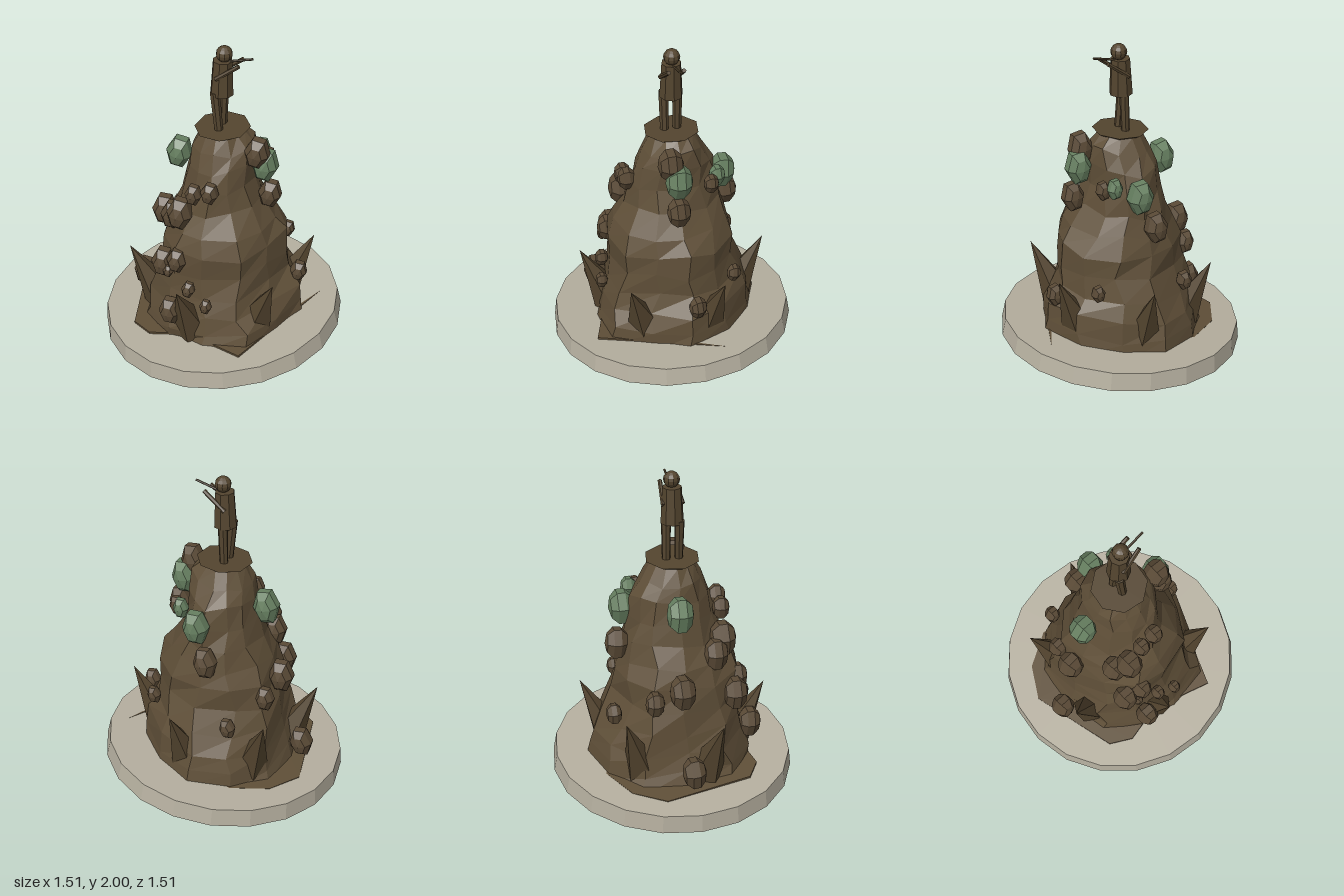
import * as THREE from 'three';

const material = (color) => new THREE.MeshStandardMaterial({ color, flatShading: true, side: THREE.DoubleSide });
const V = (x, y, z) => new THREE.Vector3(x, y, z);

function seeded(seed) {
  return () => {
    seed = (seed * 16807) % 2147483647;
    return seed / 2147483647;
  };
}

// Flat-faced tapered rod between two points
function rod(name, from, to, r0, r1, sides, mat) {
  const dir = to.clone().sub(from);
  const mesh = new THREE.Mesh(new THREE.CylinderGeometry(r1, r0, dir.length(), sides), mat);
  mesh.position.copy(from).addScaledVector(dir, 0.5);
  mesh.quaternion.setFromUnitVectors(V(0, 1, 0), dir.normalize());
  mesh.name = name;
  return mesh;
}

// Closed loft: each ring is [y, reach -x, +x, +z, -z]; the plan factors fade out upwards
function craggyMound(rings, plan, random) {
  const pos = [], index = [], sides = plan.length;
  rings.forEach(([y, left, right, front, back], i) => {
    const last = i === rings.length - 1;
    const fade = Math.max(0, 1 - y);
    for (let j = 0; j < sides; j++) {
      const a = ((j + (last ? 0 : (random() - 0.5) * 0.3)) / sides) * Math.PI * 2;
      const c = Math.cos(a), s = -Math.sin(a);
      const k = (0.96 + random() * 0.08) * (1 + (plan[j] - 1) * fade);
      const lift = last ? 0 : (random() - 0.5) * 0.05;
      const x = c * (c > 0 ? right : left) * k;
      pos.push(x, y + lift + x * 0.07, s * (s > 0 ? front : back) * k);
    }
  });
  for (let i = 0; i < rings.length - 1; i++) {
    for (let j = 0; j < sides; j++) {
      const a = i * sides + j, b = i * sides + ((j + 1) % sides);
      index.push(a, b, b + sides, a, b + sides, a + sides);
    }
  }
  const top = (rings.length - 1) * sides;
  for (let j = 1; j < sides - 1; j++) index.push(top, top + j, top + j + 1);
  const geo = new THREE.BufferGeometry();
  geo.setAttribute('position', new THREE.Float32BufferAttribute(pos, 3));
  geo.setIndex(index);
  const flat = geo.toNonIndexed();
  flat.computeVertexNormals();
  return flat;
}

export function createModel() {
  const model = new THREE.Group();
  model.name = 'rockMonument';
  const random = seeded(4711);
  const rock = material(0x5f4f38), boulderMat = material(0x5a4a36), moss = material(0x667f60);
  const spikeMat = material(0x54452f), bronze = material(0x54452f), stone = material(0xb5af9f);

  // Tilted round plinth with a slightly sloping rim
  const plinth = new THREE.Mesh(new THREE.CylinderGeometry(0.74, 0.757, 0.112, 20), stone);
  plinth.position.y = 0.12;
  plinth.rotation.set(0.014, 0, 0.083);
  plinth.name = 'plinth';
  model.add(plinth);

  // Thin uneven ground patch around the foot of the rock
  const outline = [[-0.08, -0.56], [-0.46, -0.36], [-0.58, -0.17], [-0.46, 0.38], [-0.33, 0.46],
    [-0.1, 0.42], [0.14, 0.5], [0.28, 0.55], [0.6, -0.17], [0.42, 0.15], [0.2, -0.47]];
  const patch = new THREE.Shape(outline.map(([x, z]) => new THREE.Vector2(x, -z)));
  const ground = new THREE.Mesh(
    new THREE.ExtrudeGeometry(patch, { depth: 0.03, bevelEnabled: false }).rotateX(-Math.PI / 2), rock);
  ground.position.y = 0.152;
  ground.rotation.z = 0.08;
  ground.name = 'groundPatch';
  model.add(ground);

  // Craggy main rock
  const rings = [
    [0.13, 0.46, 0.53, 0.50, 0.54], [0.24, 0.44, 0.52, 0.49, 0.52], [0.36, 0.42, 0.49, 0.46, 0.49],
    [0.48, 0.40, 0.43, 0.42, 0.43], [0.62, 0.38, 0.41, 0.40, 0.37], [0.76, 0.35, 0.40, 0.41, 0.37],
    [0.88, 0.31, 0.34, 0.37, 0.34], [1.0, 0.25, 0.25, 0.29, 0.30], [1.14, 0.22, 0.21, 0.26, 0.28],
    [1.26, 0.20, 0.20, 0.23, 0.25], [1.37, 0.18, 0.19, 0.18, 0.19], [1.45, 0.13, 0.13, 0.13, 0.13],
  ];
  const plan = [1, 0.91, 0.97, 1, 0.98, 1.1, 1, 1.1, 1, 1, 1.1, 0.9];
  const mound = new THREE.Mesh(craggyMound(rings, plan, random), rock);
  mound.name = 'mainRock';
  model.add(mound);

  // Flared summit ledge
  const ledge = new THREE.Mesh(new THREE.CylinderGeometry(0.168, 0.125, 0.024, 8), spikeMat);
  ledge.position.y = 1.453;
  ledge.rotation.set(0, 0.2, 0.05);
  ledge.name = 'summitLedge';
  model.add(ledge);

  // Boulders: x, y, z, radius
  const boulders = [
    [-0.2, 0.56, -0.41, 0.06], [-0.03, 0.95, -0.35, 0.09], [-0.35, 0.68, -0.19, 0.072],
    [-0.52, 0.27, 0.01, 0.09], [-0.39, 0.76, -0.03, 0.098], [0.23, 1.19, -0.18, 0.056],
    [0.34, 0.58, -0.3, 0.053], [0.485, 0.48, -0.03, 0.067], [0.235, 1.37, 0.07, 0.095],
    [0.31, 1.08, 0.04, 0.088], [-0.25, 0.915, 0.21, 0.09], [-0.18, 0.98, 0.27, 0.1],
    [-0.09, 1.14, 0.28, 0.065], [0.01, 1.17, 0.28, 0.068], [-0.27, 0.64, 0.33, 0.094],
    [-0.17, 0.70, 0.37, 0.077], [-0.19, 0.37, 0.45, 0.088], [-0.08, 0.54, 0.43, 0.052],
    [0.04, 0.46, 0.46, 0.047], [-0.22, 0.62, 0.39, 0.04],
  ];
  const mossy = [[0.05, 1.15, -0.3, 0.1], [-0.28, 1.22, -0.02, 0.1],
    [0.18, 1.21, -0.23, 0.06], [0.275, 1.27, 0.03, 0.1]];
  const addBoulders = (name, list, mat) => {
    const group = new THREE.Group();
    group.name = name;
    for (const [x, y, z, r] of list) {
      const mesh = new THREE.Mesh(new THREE.SphereGeometry(r, 6, 5).rotateX(Math.PI / 2), mat);
      mesh.position.set(x, y, z);
      mesh.rotation.set((random() - 0.5) * 0.15, (random() - 0.5) * 0.15, -0.08 + (random() - 0.5) * 0.2);
      mesh.scale.set(0.82, 1.2, 0.82);
      mesh.name = 'boulder';
      group.add(mesh);
    }
    model.add(group);
  };
  addBoulders('boulders', boulders, boulderMat);
  addBoulders('mossyBoulders', mossy, moss);

  // Rock spikes leaning strongly outwards around the foot, given by their tips
  const spikes = new THREE.Group();
  spikes.name = 'rockSpikes';
  const tips = [[0.11, 0.64, -0.56], [0.54, 0.66, -0.18], [-0.55, 0.58, 0.18],
    [-0.42, 0.6, -0.38], [0.43, 0.64, 0.37], [-0.11, 0.6, 0.56]];
  for (const [x, y, z] of tips) {
    spikes.add(rod('rockSpike', V(x * 0.63, 0.17 + x * 0.06, z * 0.63), V(x, y, z), 0.135, 0, 5, spikeMat));
  }
  model.add(spikes);

  // Standing figure facing +x, playing a pipe
  const figure = new THREE.Group();
  figure.name = 'pipePlayer';
  for (const side of [-1, 1]) {
    figure.add(rod('leg', V(-0.012, 1.46, side * 0.038), V(-0.02 - side * 0.016, 1.71, side * 0.037), 0.026, 0.03, 7, bronze));
    figure.add(rod('arm', V(-0.025, 1.81, side * 0.058), V(0.11, 1.91, side * 0.045), 0.014, 0.013, 6, bronze));
  }
  figure.add(rod('coat', V(-0.005, 1.69, 0), V(0.0, 1.91, 0), 0.07, 0.058, 8, bronze));
  figure.add(rod('pipe', V(0.04, 1.908, 0), V(0.18, 1.945, 0), 0.007, 0.007, 6, bronze));
  const head = new THREE.Mesh(new THREE.SphereGeometry(0.049, 10, 8), bronze);
  head.position.set(0.01, 1.952, 0);
  head.name = 'head';
  figure.add(head);
  model.add(figure);

  return model;
}
